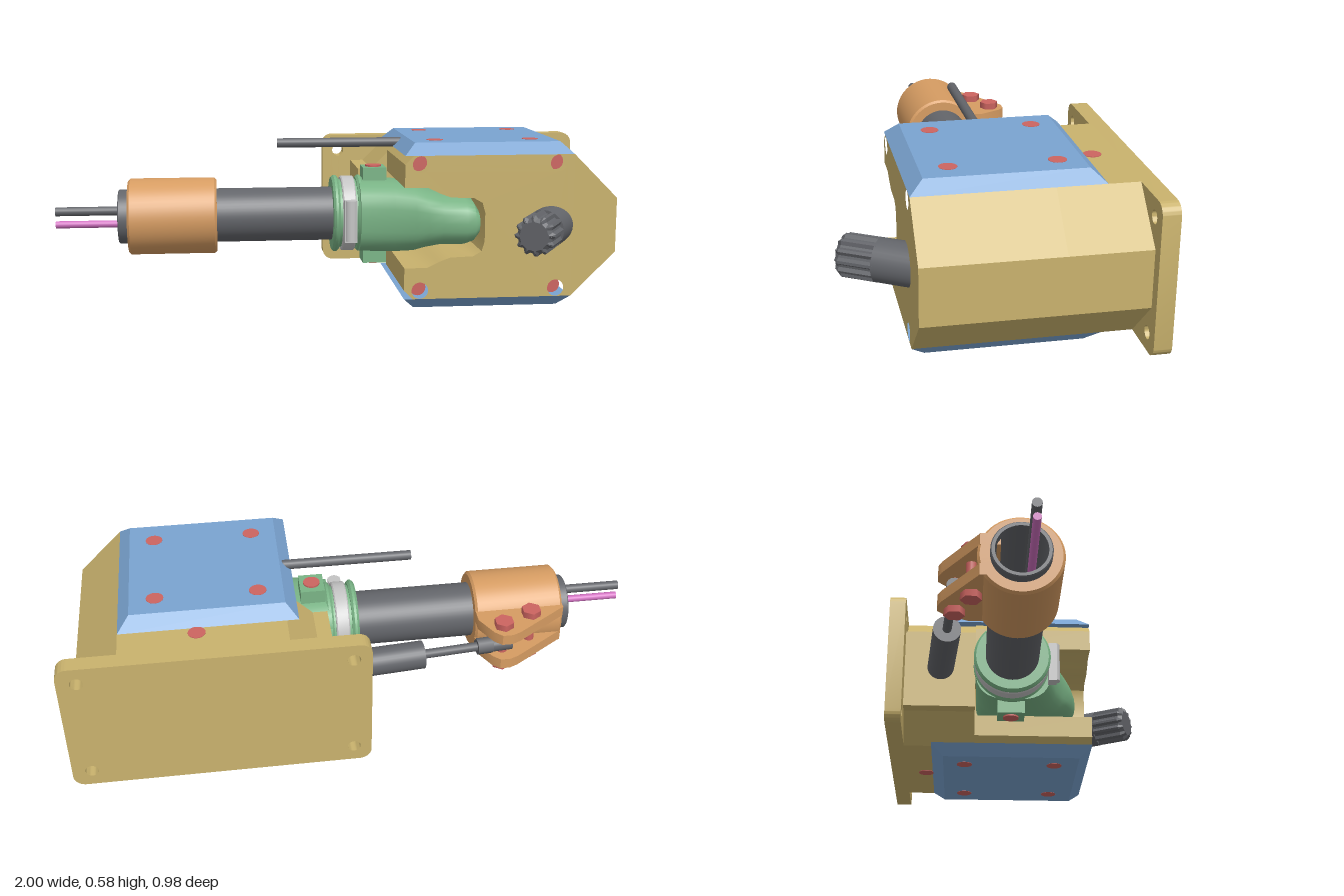
import * as THREE from 'three';
import { toCreasedNormals } from 'three/addons/utils/BufferGeometryUtils.js';

const paint = (name, color) => Object.assign(new THREE.MeshStandardMaterial({ color }), { name });
const V = (x, y, z) => new THREE.Vector3(x, y, z);
const CY = 0.295, CZ = -0.037; // main pipe axis

export function createModel() {
  const gold = paint('gold', 0xc9b26d), blue = paint('blue', 0x7aa3d0), green = paint('green', 0x7ab486);
  const grey = paint('grey', 0x63656a), orange = paint('orange', 0xd69c62), red = paint('red', 0xcc6460);
  const silver = paint('silver', 0xc4c4c4), pink = paint('pink', 0xd070c0);
  const model = new THREE.Group();

  const add = (name, geo, mat, x = 0, y = 0, z = 0) => {
    const m = new THREE.Mesh(geo, mat);
    m.name = name;
    m.position.set(x, y, z);
    model.add(m);
    return m;
  };
  // Cylinder between two points
  const rod = (name, a, b, r, mat, sides = 24, r2 = r) => {
    const m = add(name, new THREE.CylinderGeometry(r2, r, a.distanceTo(b), sides), mat);
    m.position.copy(a).lerp(b, 0.5);
    m.quaternion.setFromUnitVectors(V(0, 1, 0), b.clone().sub(a).normalize());
    return m;
  };
  // Hollow ring along x on the pipe axis
  const ring = (name, x0, x1, ri, ro, mat) => {
    const c = Math.min(0.008, (ro - ri) / 4);
    const pts = [[ri, x0], [ro - c, x0], [ro, x0 + c], [ro, x1 - c], [ro - c, x1], [ri, x1], [ri, x0]];
    const geo = new THREE.LatheGeometry(pts.map(p => new THREE.Vector2(...p)), 48).rotateZ(-Math.PI / 2);
    add(name, toCreasedNormals(geo, 0.5), mat, 0, CY, CZ);
  };
  const poly = pts => new THREE.Shape(pts.map(p => new THREE.Vector2(...p)));
  const drill = (shape, holes, r) => holes.forEach(([x, y]) =>
    shape.holes.push(new THREE.Path().absarc(x, y, r, 0, Math.PI * 2, true)));
  const prism = (name, shape, z0, z1, mat) => add(name,
    toCreasedNormals(new THREE.ExtrudeGeometry(shape, { depth: z1 - z0, bevelEnabled: false, curveSegments: 12 }), 0.6),
    mat, 0, 0, z0);
  const mirrorY = pts => pts.concat(pts.map(([x, y]) => [x, 0.58 - y]).reverse());

  // Housing front with the funnel notch, upper half mirrored downwards
  const frontBolts = [[0.265, 0.51], [0.745, 0.51], [0.265, 0.07], [0.745, 0.07]];
  const front = poly(mirrorY([[0.49, 0.34], [0.48, 0.375], [0.45, 0.392], [0.37, 0.395], [0.33, 0.41],
    [0.29, 0.43], [0.21, 0.43], [0.21, 0.51], [0.24, 0.54], [0.8, 0.54], [0.955, 0.385]]
    .reverse()).reverse());
  drill(front, frontBolts, 0.029);
  prism('housingFront', front, -0.17, 0.27, gold);
  frontBolts.forEach(([x, y]) => rod('frontBolt', V(x, y, -0.16), V(x, y, 0.22), 0.0285, red));

  // Solid rear of the housing with its side bracket
  prism('housingRear', poly(mirrorY([[0.955, 0.385], [0.8, 0.54], [0.25, 0.54], [0.15, 0.44], [0.1, 0.44]])),
    -0.44, -0.17, gold);

  // Mounting flange
  const flange = new THREE.Shape(), r = 0.04;
  [[0.03, 0.08, Math.PI], [0.955, 0.08, -Math.PI / 2], [0.955, 0.5, 0], [0.03, 0.5, Math.PI / 2]]
    .forEach(([x, y, a]) => flange.absarc(x, y, r, a, a + Math.PI / 2, false));
  drill(flange, [[0.05, 0.48], [0.05, 0.1], [0.93, 0.48], [0.93, 0.1]], 0.022);
  prism('mountingFlange', flange, -0.49, -0.432, gold);

  // Bevelled covers and bolts, above and below
  const cover = new THREE.BoxGeometry(0.59, 0.04, 0.6).toNonIndexed();
  const p = cover.attributes.position;
  for (let i = 0; i < p.count; i++) {
    if (p.getY(i) > 0) p.setXYZ(i, p.getX(i) * 0.51 / 0.59, 0.02, p.getZ(i) * 0.51 / 0.6);
  }
  cover.computeVertexNormals();
  for (const s of [1, -1]) {
    const lid = add(s > 0 ? 'topCover' : 'bottomCover', cover, blue, 0.505, 0.29 + s * 0.27, -0.03);
    if (s < 0) lid.rotation.x = Math.PI;
    for (const x of [0.335, 0.675]) for (const z of [-0.205, 0.135]) {
      add('coverBolt', new THREE.CylinderGeometry(0.029, 0.029, 0.006, 24), red, x, 0.29 + s * 0.288, z);
    }
    add('rearBolt', new THREE.CylinderGeometry(0.029, 0.029, 0.006, 24), red, 0.545, 0.29 + s * 0.249, -0.355);
  }

  // Splined output shaft, tilted
  const shaft = new THREE.Group();
  shaft.name = 'splinedShaft';
  shaft.position.set(0.735, 0.29, 0.245);
  shaft.rotation.y = -Math.PI / 6;
  const base = new THREE.Mesh(new THREE.CylinderGeometry(0.07, 0.07, 0.2, 32).rotateX(Math.PI / 2), grey);
  base.name = 'shaftBase';
  base.position.z = 0.02;
  const star = new THREE.Shape();
  for (let i = 0; i < 48; i++) {
    const a = i / 48 * Math.PI * 2, q = i % 4 < 2 ? 0.07 : 0.06;
    star[i ? 'lineTo' : 'moveTo'](Math.cos(a) * q, Math.sin(a) * q);
  }
  const spline = new THREE.Mesh(new THREE.ExtrudeGeometry(star, { depth: 0.115, bevelSize: 0.012,
    bevelOffset: -0.012, bevelThickness: 0.015, bevelSegments: 1 }), grey);
  spline.name = 'shaftSpline';
  spline.position.z = 0.115;
  shaft.add(base, spline);
  model.add(shaft);

  // Green inlet body: rounded sections [x, half height, back z, front z]
  const stations = [[0.08, 0.001, -0.04, -0.03], [0.08, 0.13, -0.17, 0.11], [0.2, 0.13, -0.169, 0.14],
    [0.27, 0.122, -0.165, 0.17], [0.31, 0.107, -0.165, 0.19], [0.36, 0.094, -0.165, 0.21], [0.44, 0.092, -0.165, 0.228],
    [0.47, 0.08, -0.165, 0.228], [0.485, 0.055, -0.16, 0.22], [0.487, 0.001, 0, 0.01]];
  const N = 32, pos = [], idx = [];
  const pw = v => Math.sign(v) * Math.abs(v) ** 0.7;
  stations.forEach(([x, h, z0, z1], i) => {
    for (let j = 0; j <= N; j++) {
      const a = j / N * Math.PI * 2;
      pos.push(x, CY - 0.003 + h * pw(Math.cos(a)), (z0 + z1) / 2 + (z1 - z0) / 2 * pw(Math.sin(a)));
      if (i && j < N) {
        const k = (i - 1) * (N + 1) + j, n = k + N + 1;
        idx.push(k, k + 1, n, k + 1, n + 1, n);
      }
    }
  });
  const body = new THREE.BufferGeometry();
  body.setAttribute('position', new THREE.Float32BufferAttribute(pos, 3));
  body.setIndex(idx);
  add('inletBody', toCreasedNormals(body, 0.7), green);
  for (const s of [1, -1]) {
    add('inletLug', new THREE.BoxGeometry(0.085, 0.06, 0.1), green, 0.14, 0.292 + s * 0.145, CZ);
    add('lugBolt', new THREE.CylinderGeometry(0.029, 0.029, 0.012, 24), red, 0.14, 0.292 + s * 0.175, CZ);
  }
  ring('inletSleeve', -0.01, 0.09, 0.09, 0.124, green);
  for (const x of [-0.015, 0.073]) ring('sleeveFlange', x, x + 0.024, 0.09, 0.14, green);

  // Hose clamp with buckle
  ring('hoseClamp', 0.018, 0.066, 0.12, 0.137, silver);
  add('clampBuckle', new THREE.BoxGeometry(0.045, 0.15, 0.03), silver, 0.042, 0.29, 0.112);
  const screw = V(0.042, 0.22, 0.118);
  rod('clampScrew', screw, V(0.042, 0.365, 0.118), 0.021, silver);

  // Pipe, collar and wires
  ring('mainPipe', -0.78, 0.02, 0.083, 0.097, grey);
  ring('collar', -0.745, -0.43, 0.095, 0.137, orange);
  rod('greyWire', V(-1, 0.322, -0.003), V(0, 0.322, -0.003), 0.016, grey, 16);
  rod('pinkWire', V(-1, 0.275, -0.003), V(0, 0.275, -0.003), 0.013, pink, 16);

  // Collar ears with hexagon bolts
  const ear = poly([[-0.745, 0.1], [-0.43, 0.1], [-0.43, 0.2], [-0.47, 0.275], [-0.495, 0.298],
    [-0.53, 0.298], [-0.56, 0.285], [-0.735, 0.17], [-0.745, 0.165]]);
  for (const y of [0.222, 0.328]) {
    const m = prism('collarEar', ear, 0, 0.04, orange);
    m.rotation.x = -Math.PI / 2;
    m.position.set(0, y, 0);
  }
  for (const [x, z] of [[-0.62, -0.19], [-0.51, -0.243]]) {
    rod('earBolt', V(x, 0.205, z), V(x, 0.385, z), 0.018, red, 16);
    for (const y of [0.21, 0.38]) add('earBoltHead', new THREE.CylinderGeometry(0.035, 0.035, 0.024, 6), red, x, y, z);
  }

  // Actuator between the collar and the bracket
  const at = x => V(x, CY, -0.252 - (x + 0.45) * 0.085);
  rod('actuatorEye', at(-0.54), at(-0.46), 0.026, grey, 16);
  rod('actuatorNut', at(-0.47), at(-0.415), 0.03, grey, 6);
  rod('actuatorRod', at(-0.42), at(-0.2), 0.016, grey, 16);
  rod('actuatorCylinder', at(-0.22), at(0.14), 0.049, grey, 32);

  // Upper rod with rounded end
  rod('upperRod', V(-0.21, 0.555, CZ), V(0.235, 0.555, CZ), 0.017, grey, 16);
  add('upperRodEnd', new THREE.SphereGeometry(0.017, 16, 10), grey, 0.235, 0.555, CZ);
  return model;
}
